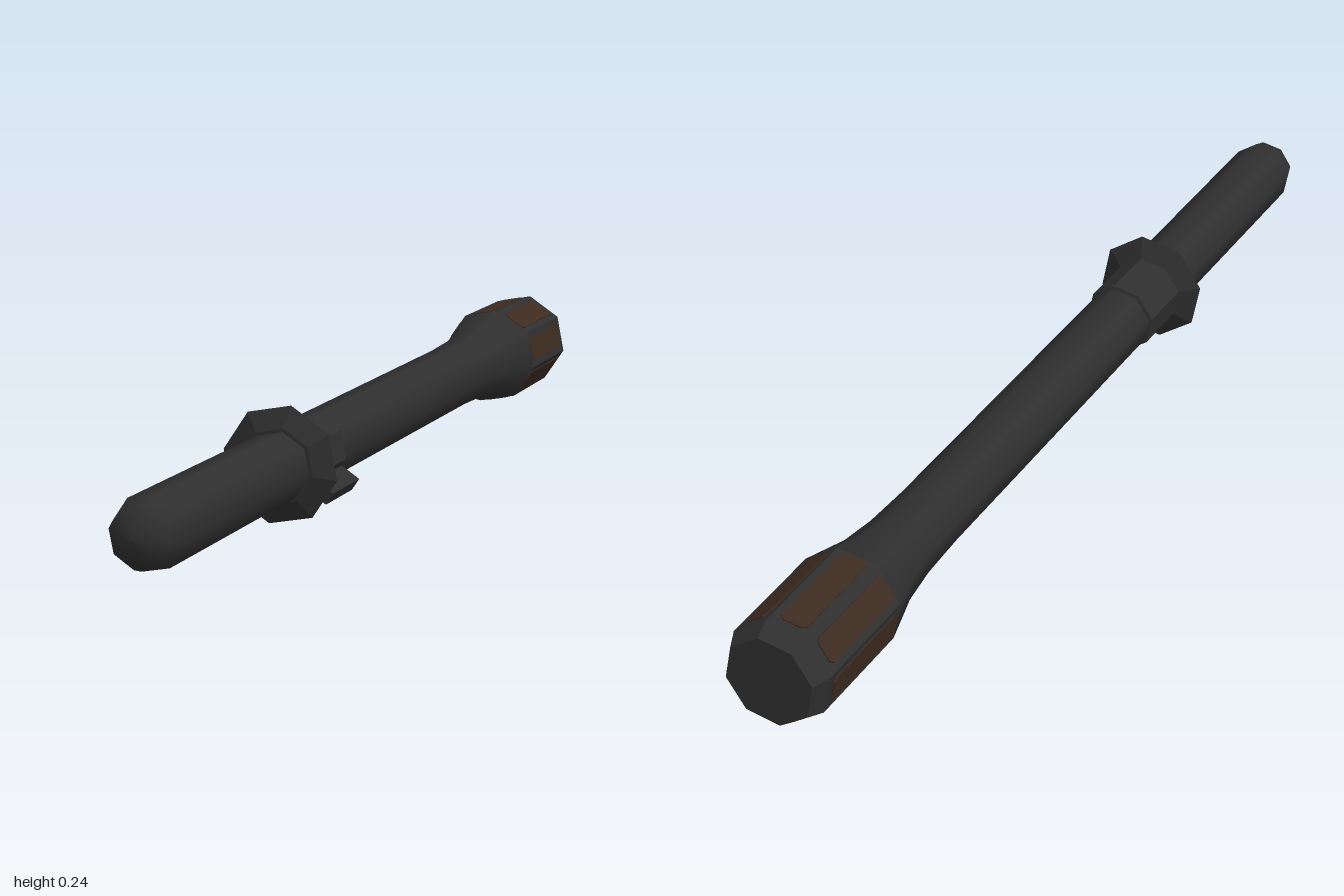
import * as THREE from 'three';
import { toCreasedNormals } from 'three/addons/utils/BufferGeometryUtils.js';

const SIDES = 8;
const STEP = (Math.PI * 2) / SIDES;
const START = THREE.MathUtils.degToRad(33); // roll of the octagon about the axis

// Eight-sided turned part; profile rows are [radius, position along the axis], back to front
function turned(name, profile, material, crease) {
  const points = profile.map(([r, y]) => new THREE.Vector2(r, y));
  let geometry = new THREE.LatheGeometry(points, SIDES, START);
  if (crease) geometry = toCreasedNormals(geometry, crease);
  const mesh = new THREE.Mesh(geometry, material);
  mesh.name = name;
  return mesh;
}

export function createModel() {
  const black = new THREE.MeshStandardMaterial({ color: 0x2f2f2f });
  black.name = 'charcoal';
  const brown = new THREE.MeshStandardMaterial({ color: 0x3d2b20 });
  brown.name = 'dark brown';

  // Parts are built along y, then laid down so that the grip points to +z
  const baton = new THREE.Group();
  baton.name = 'baton';
  baton.rotation.x = Math.PI / 2;

  // Grip with a domed front end
  baton.add(turned('grip', [
    [0.061, 0.40], [0.062, 0.94], [0.052, 0.972], [0.03, 0.993], [0, 0.998],
  ], black));

  // Shaft flaring into the head
  baton.add(turned('shaft', [
    [0.095, -0.745], [0.072, -0.655], [0.064, -0.58], [0.061, -0.48], [0.061, 0.40],
  ], black));

  // Faceted head with a chamfered, flat back
  baton.add(turned('head', [
    [0, -0.995], [0.08, -0.995], [0.094, -0.965], [0.095, -0.745],
  ], black, 0.3));

  // Collar and thin sharp-rimmed guard
  baton.add(turned('collar', [
    [0.06, 0.265], [0.067, 0.267], [0.067, 0.40],
  ], black, 0.7));
  baton.add(turned('guard', [
    [0.06, 0.387], [0.067, 0.387], [0.104, 0.405], [0.067, 0.423], [0.06, 0.423],
  ], black, 0.3));

  // Catch standing out from one facet behind the guard
  const catchGeometry = new THREE.BoxGeometry(0.024, 0.125, 0.05);
  catchGeometry.translate(0, 0.328, 0.075);
  catchGeometry.rotateY(START + STEP / 2);
  const catchMesh = new THREE.Mesh(catchGeometry, black);
  catchMesh.name = 'catch';
  baton.add(catchMesh);

  // Thin inlay with clipped corners on every facet of the head
  const w = 0.024, h = 0.1, c = 0.008;
  const outline = new THREE.Shape([
    [-w + c, -h], [w - c, -h], [w, -h + c], [w, h - c],
    [w - c, h], [-w + c, h], [-w, h - c], [-w, -h + c],
  ].map(([x, y]) => new THREE.Vector2(x, y)));
  const inlay = new THREE.ExtrudeGeometry(outline, { depth: 0.004, bevelEnabled: false });
  inlay.translate(0, -0.848, 0.095 * Math.cos(STEP / 2) - 0.0025);
  for (let i = 0; i < SIDES; i++) {
    const mesh = new THREE.Mesh(inlay, brown);
    mesh.name = 'headInlay';
    mesh.rotation.y = START + STEP * (i + 0.5);
    baton.add(mesh);
  }

  // Slight tilt of the whole baton
  const model = new THREE.Group();
  model.name = 'tiltedBaton';
  model.add(baton);
  const axis = new THREE.Vector3(-0.0474, -0.031, 1).normalize();
  model.quaternion.setFromUnitVectors(new THREE.Vector3(0, 0, 1), axis);
  model.position.set(-0.0075, 0.117, 0);

  const root = new THREE.Group();
  root.name = 'model';
  root.add(model);
  return root;
}
